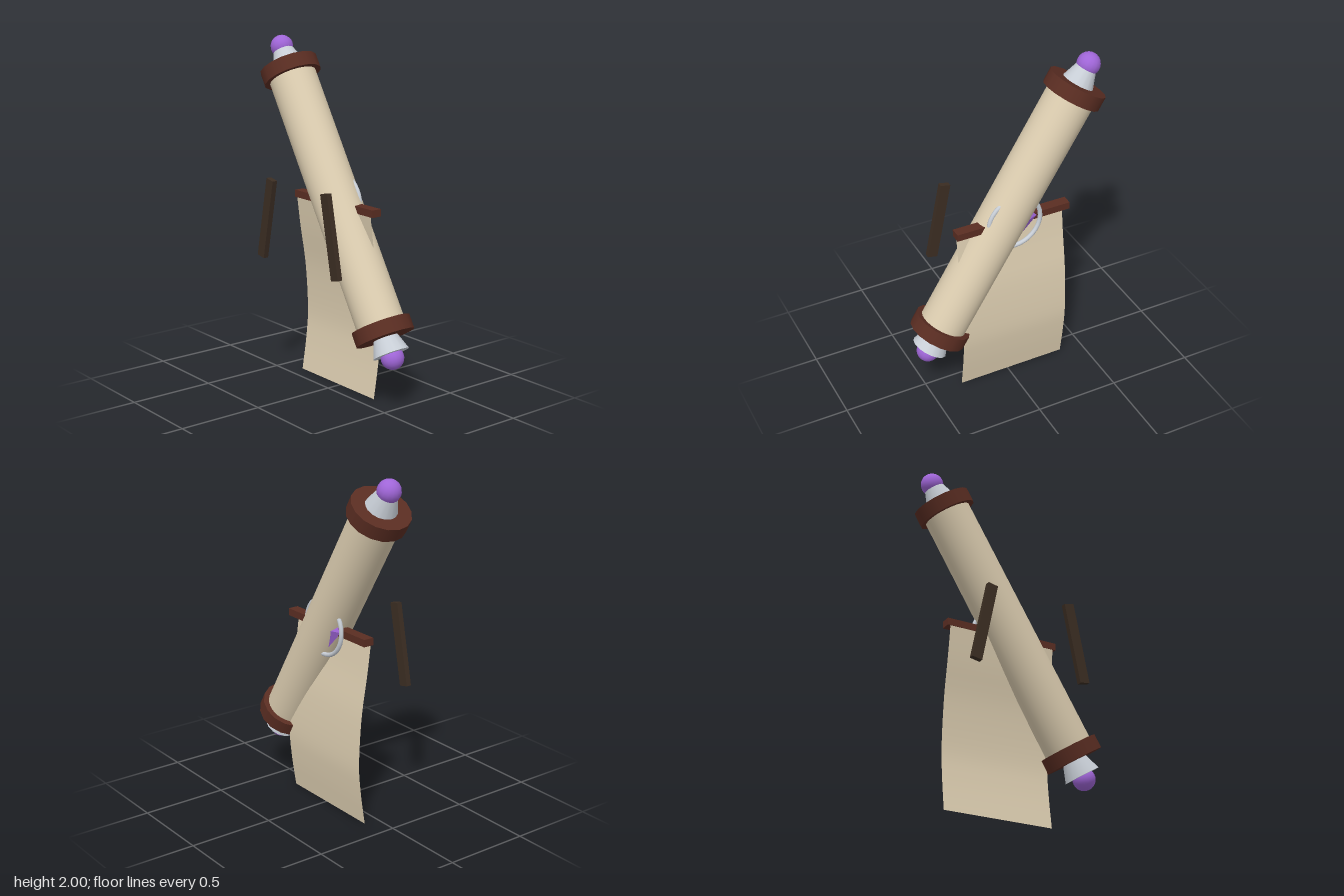
import * as THREE from 'three';

export function createModel() {
  const model = new THREE.Group();
  const material = (name, color, extra = {}) => {
    const m = new THREE.MeshStandardMaterial({ color, ...extra });
    m.name = name;
    return m;
  };
  const parchment = material('parchment', 0xdccdb0, { side: THREE.DoubleSide });
  const redwood = material('red wood', 0x5a2d22);
  const darkwood = material('dark wood', 0x3b2d22);
  const silver = material('silver', 0xc8ced6);
  const violet = material('violet', 0xa066d8);
  const violetGem = violet.clone();
  violetGem.name = 'violet facets';
  violetGem.flatShading = true;

  const add = (parent, name, geometry, mat, x = 0, y = 0, z = 0) => {
    const mesh = new THREE.Mesh(geometry, mat);
    mesh.name = name;
    mesh.position.set(x, y, z);
    parent.add(mesh);
    return mesh;
  };

  // Slanted scroll roll with collars, conical finials and end knobs
  const roll = new THREE.Group();
  roll.name = 'scrollRoll';
  roll.position.set(0, 1.122, -0.056);
  roll.rotation.z = 0.55;
  model.add(roll);
  add(roll, 'rollBody', new THREE.CylinderGeometry(0.138, 0.138, 1.6, 32), parchment);
  for (const [side, label] of [[1, 'upper'], [-1, 'lower']]) {
    add(roll, label + 'Collar', new THREE.CylinderGeometry(0.17, 0.17, 0.083, 16), redwood, 0, side * 0.798);
    add(roll, label + 'Finial', new THREE.CylinderGeometry(0.058, 0.105, 0.133, 16), silver, 0, side * 0.866);
    add(roll, label + 'Knob', new THREE.SphereGeometry(0.066, 16, 12), violet, 0, side * 0.955);
  }

  // Hanging sheet: a flat plane bent along a side profile
  const profile = new THREE.SplineCurve([
    [0, -0.09], [0.2, -0.12], [0.38, -0.133], [0.65, -0.117], [0.89, -0.08], [1.08, -0.055],
  ].map(([y, z]) => new THREE.Vector2(y, z)));
  const sheet = new THREE.PlaneGeometry(0.665, 1, 1, 24);
  const pos = sheet.attributes.position;
  for (let i = 0; i < pos.count; i++) {
    const p = profile.getPoint(pos.getY(i) + 0.5);
    pos.setY(i, p.x);
    pos.setZ(i, p.y);
  }
  sheet.computeVertexNormals();
  add(model, 'hangingSheet', sheet, parchment, -0.028);
  add(model, 'sheetBar', new THREE.BoxGeometry(0.7, 0.042, 0.062), redwood, -0.028, 1.087, -0.085);

  // Ring and gem set behind the bar
  add(model, 'sealRing', new THREE.TorusGeometry(0.16, 0.013, 10, 32), silver, -0.025, 1.09, -0.123);
  const gem = add(model, 'sealGem', new THREE.OctahedronGeometry(0.145), violetGem, -0.025, 1.09, -0.115);
  gem.scale.z = 0.4;

  // Pair of slats leaning inward at the front
  for (const side of [-1, 1]) {
    const slat = add(model, side > 0 ? 'leftSlat' : 'rightSlat',
      new THREE.BoxGeometry(0.06, 0.475, 0.031), darkwood, side * 0.292, 0.992, 0.211);
    slat.rotation.z = side * 0.2;
  }

  return model;
}
